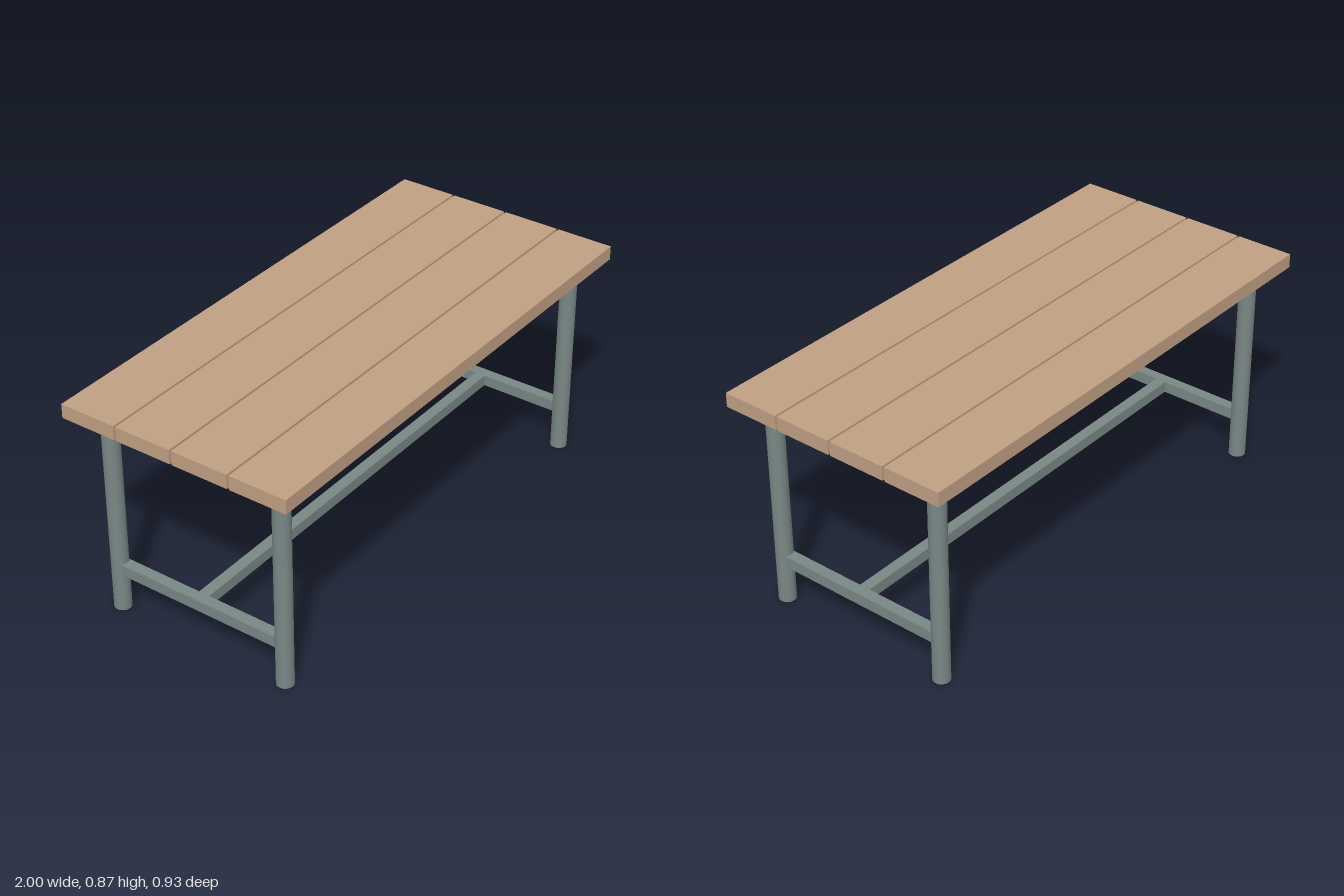
import * as THREE from 'three';

export function createModel() {
  const table = new THREE.Group();
  table.name = 'table';

  const wood = new THREE.MeshStandardMaterial({ color: 0xc0a083 });
  wood.name = 'wood';
  const steel = new THREE.MeshStandardMaterial({ color: 0x788785 });
  steel.name = 'greySteel';

  const BAR = 0.044;                 // square tube section
  const FRAME_TOP = 0.813, FRAME_BOTTOM = FRAME_TOP - BAR;
  const FRAME_X = 0.945, FRAME_Z = 0.418;
  const LEG_X = 0.8875, LEG_Z = 0.361, LEG_R = 0.0325;
  const BRACE_Y = 0.179;

  function add(name, geometry, material, x, y, z) {
    const mesh = new THREE.Mesh(geometry, material);
    mesh.name = name;
    mesh.position.set(x, y, z);
    table.add(mesh);
  }
  const box = (name, material, w, h, d, x, y, z) =>
    add(name, new THREE.BoxGeometry(w, h, d), material, x, y, z);

  // Four top planks separated by narrow gaps
  const plankW = 0.227, pitch = 0.2357, plankH = 0.055;
  for (let i = 0; i < 4; i++) {
    box('topPlank', wood, 2, plankH, plankW, 0, FRAME_TOP + plankH / 2, (i - 1.5) * pitch);
  }

  const frameY = (FRAME_TOP + FRAME_BOTTOM) / 2;
  const legGeometry = new THREE.CylinderGeometry(LEG_R, LEG_R, FRAME_BOTTOM, 32);

  for (const s of [-1, 1]) {
    // Rectangular frame under the planks
    box('longRail', steel, FRAME_X * 2, BAR, BAR, 0, frameY, s * (FRAME_Z - BAR / 2));
    box('endRail', steel, BAR, BAR, (FRAME_Z - BAR) * 2, s * (FRAME_X - BAR / 2), frameY, 0);

    // Low brace joining each pair of legs
    box('endBrace', steel, BAR, BAR, 0.674, s * LEG_X, BRACE_Y, 0);

    // Round legs
    for (const t of [-1, 1]) {
      add('leg', legGeometry, steel, s * LEG_X, FRAME_BOTTOM / 2, t * LEG_Z);
    }
  }

  // Long stretcher between the end braces
  box('stretcher', steel, (LEG_X - BAR / 2) * 2, BAR, BAR, 0, BRACE_Y, 0);

  return table;
}
